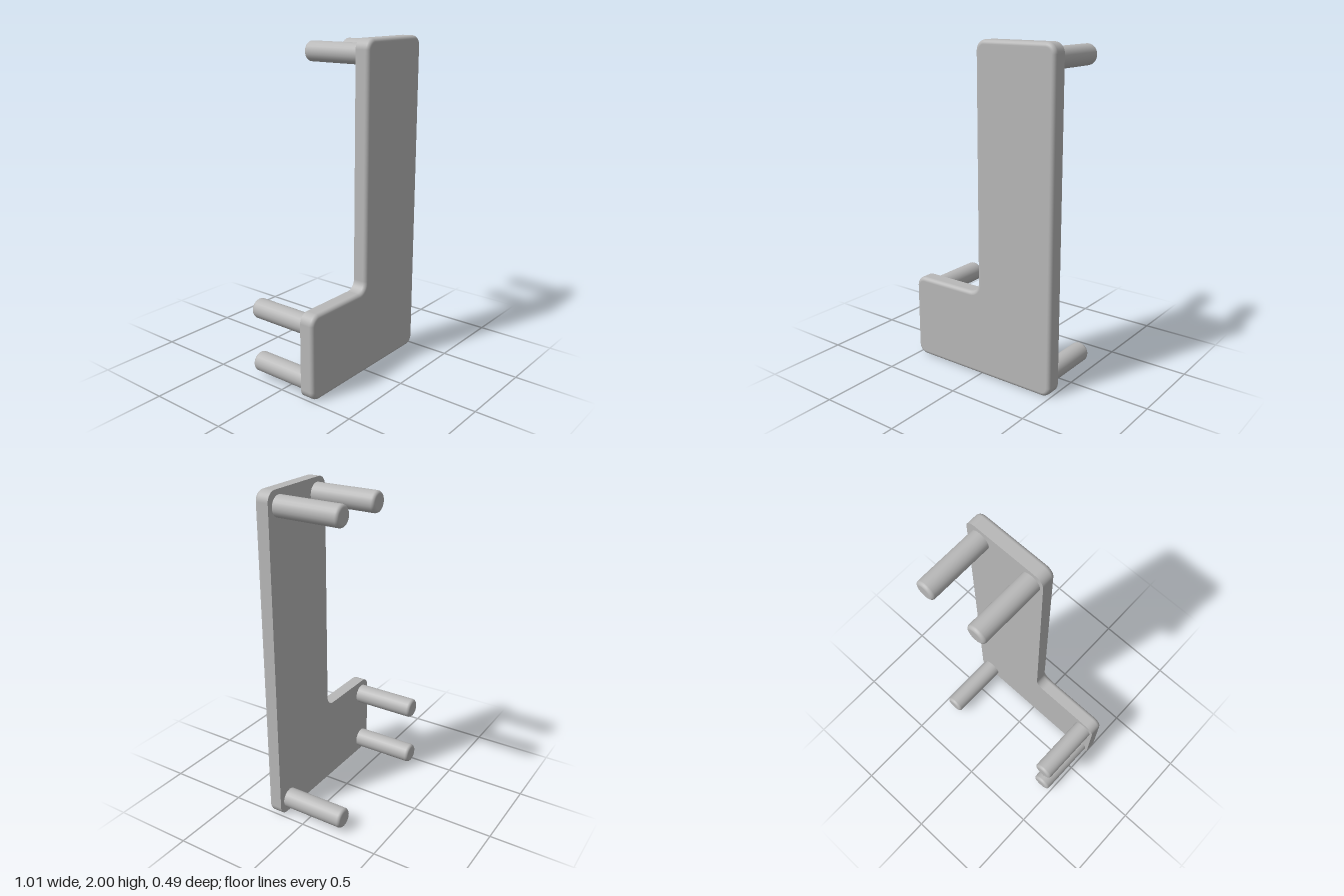
import * as THREE from 'three';

const BACK = 0.155, FRONT = 0.245, FILLET = 0.025, R = 0.06;
const Q = Math.PI / 2;

// Plate corners, counter-clockwise: arc centre, start angle, turn direction (-1 = inner corner)
const corners = [
  [-0.505 + R, R, 2 * Q, 1],
  [0.505 - R, R, 3 * Q, 1],
  [0.505 - R, 2 - R, 0, 1],
  [-0.015 + R, 2 - R, Q, 1],
  [-0.015 - R, 0.525 + R, 0, -1],
  [-0.505 + R, 0.525 - R, Q, 1],
];

// Outline moved inward by d, with its outward direction at each point
function outline(d, steps = 8) {
  const ring = [];
  for (const [cx, cy, start, turn] of corners) {
    for (let i = 0; i <= steps; i++) {
      const a = start + turn * Q * i / steps;
      const c = Math.cos(a), s = Math.sin(a), r = R - turn * d;
      ring.push({ x: cx + r * c, y: cy + r * s, nx: turn * c, ny: turn * s });
    }
  }
  return ring;
}

// L-shaped plate: flat back, rounded front edge
function plateGeometry() {
  const pos = [], nor = [], idx = [];
  const addRing = (ring, z, k, nz) => {
    const base = pos.length / 3;
    for (const p of ring) {
      pos.push(p.x, p.y, z);
      nor.push(p.nx * k, p.ny * k, nz);
    }
    return base;
  };

  // Sides and fillet
  let prev = addRing(outline(0), BACK, 1, 0);
  const steps = 6;
  for (let i = 0; i <= steps; i++) {
    const a = Q * i / steps, c = Math.cos(a), s = Math.sin(a);
    const ring = outline(FILLET * (1 - c));
    const next = addRing(ring, FRONT - FILLET + FILLET * s, c, s);
    for (let j = 0; j < ring.length; j++) {
      const k = (j + 1) % ring.length;
      idx.push(prev + j, prev + k, next + k, prev + j, next + k, next + j);
    }
    prev = next;
  }

  // Front and back faces
  for (const [d, z, side] of [[FILLET, FRONT, 1], [0, BACK, -1]]) {
    const ring = outline(d);
    const base = addRing(ring, z, 0, side);
    const faces = THREE.ShapeUtils.triangulateShape(ring.map(p => new THREE.Vector2(p.x, p.y)), []);
    for (const [a, b, c] of faces) {
      if (side > 0) idx.push(base + a, base + b, base + c);
      else idx.push(base + a, base + c, base + b);
    }
  }

  const geo = new THREE.BufferGeometry();
  geo.setAttribute('position', new THREE.Float32BufferAttribute(pos, 3));
  geo.setAttribute('normal', new THREE.Float32BufferAttribute(nor, 3));
  geo.setIndex(idx);
  return geo;
}

// Round peg with a softened tip, pointing to -z
function pegGeometry() {
  const radius = 0.061, length = 0.4, f = 0.02;
  const profile = [new THREE.Vector2(radius, 0)];
  for (let i = 0; i <= 5; i++) {
    const a = Q * i / 5;
    profile.push(new THREE.Vector2(radius - f + f * Math.cos(a), length - f + f * Math.sin(a)));
  }
  profile.push(new THREE.Vector2(0, length));
  return new THREE.LatheGeometry(profile, 24).rotateX(-Q);
}

export function createModel() {
  const model = new THREE.Group();
  const grey = new THREE.MeshStandardMaterial({ name: 'grey', color: 0xb8b8b8 });

  const plate = new THREE.Mesh(plateGeometry(), grey);
  plate.name = 'plate';
  model.add(plate);

  // Pegs near the plate's outer corners
  const peg = pegGeometry();
  const spots = [[0.065, 1.91], [0.412, 1.91], [-0.427, 0.432], [-0.427, 0.085], [0.412, 0.085]];
  spots.forEach(([x, y], i) => {
    const mesh = new THREE.Mesh(peg, grey);
    mesh.name = `peg${i + 1}`;
    mesh.position.set(x, y, BACK);
    model.add(mesh);
  });
  return model;
}
